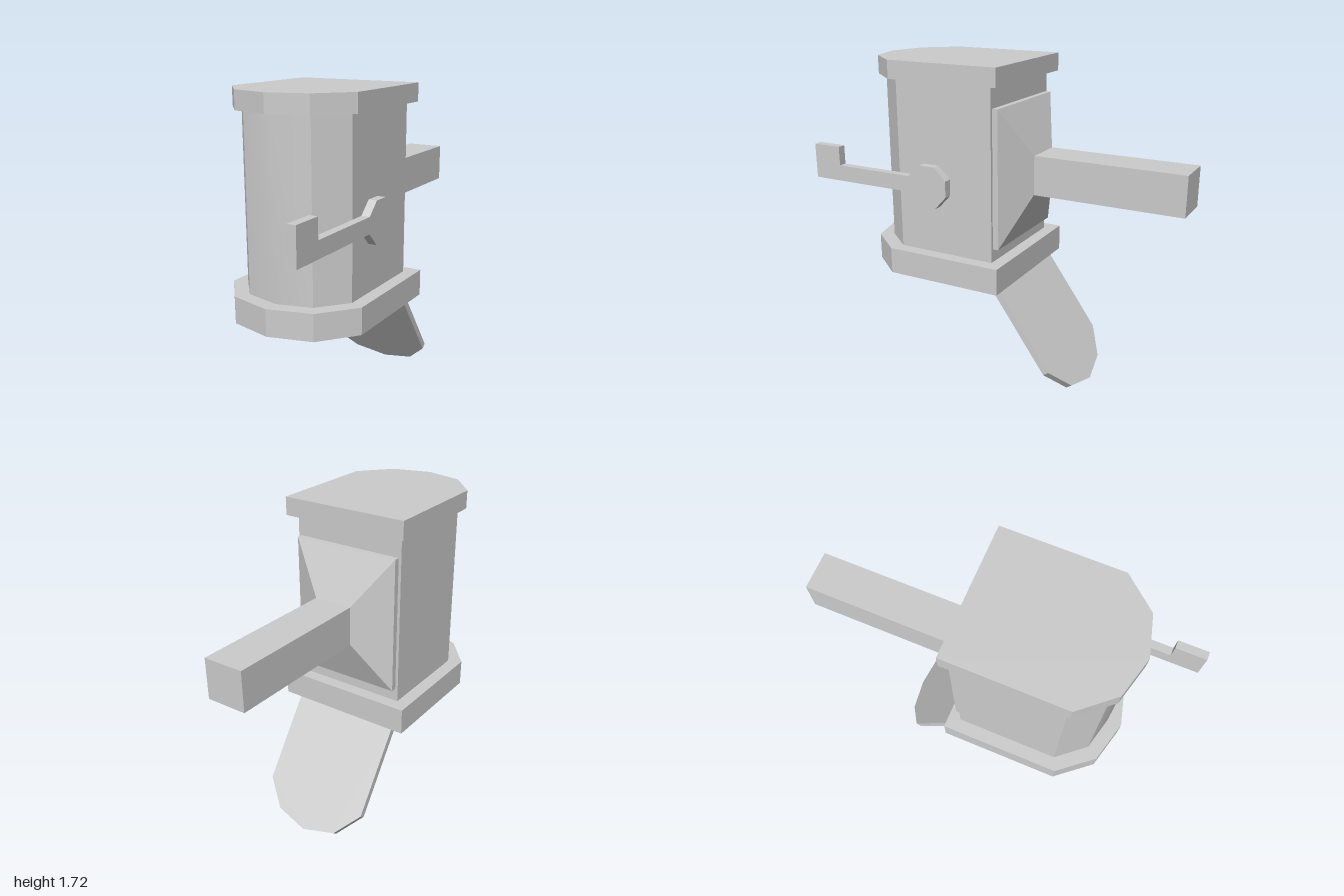
import * as THREE from 'three';
import { toCreasedNormals } from 'three/addons/utils/BufferGeometryUtils.js';

const flat = new THREE.MeshStandardMaterial({ color: 0xcccccc, flatShading: true });
const smooth = new THREE.MeshStandardMaterial({ color: 0xcccccc });

const toPoints = (list) => list.map(([a, b]) => new THREE.Vector2(a, b));

// Plan outline: square back, faceted bow front, mirrored in x
function plan(w, back, side, kneeX, kneeZ, front) {
  return toPoints([[-w, back], [w, back], [w, side], [kneeX, kneeZ],
    [0, front], [-kneeX, kneeZ], [-w, side]]);
}

function extrude(points, depth, hole) {
  const shape = new THREE.Shape(points);
  if (hole) shape.holes.push(new THREE.Path(hole));
  return new THREE.ExtrudeGeometry(shape, { depth, bevelEnabled: false });
}

// Upright prism from a plan outline (x, z)
function prism(points, y0, y1, hole) {
  return extrude(points, y1 - y0, hole).rotateX(Math.PI / 2).translate(0, y1, 0);
}

export function createModel() {
  const group = new THREE.Group();
  const add = (name, geometry, material = flat) => {
    const mesh = new THREE.Mesh(geometry, material);
    mesh.name = name;
    group.add(mesh);
    return mesh;
  };

  // Hollow housing, open at the bottom, with a collar and a lid
  const opening = plan(0.295, -0.065, 0.46, 0.175, 0.605, 0.65);
  const wall = plan(0.31, -0.08, 0.47, 0.185, 0.62, 0.667);
  add('housing', toCreasedNormals(prism(wall, 0.73, 1.63, opening), 0.6), smooth);
  add('collar', prism(plan(0.38, -0.147, 0.5, 0.228, 0.685, 0.745), 0.59, 0.73, opening));
  add('lid', prism(plan(0.348, -0.13, 0.49, 0.205, 0.655, 0.71), 1.63, 1.725));

  // Back plate, tapering boss and square arm
  add('backPlate', new THREE.BoxGeometry(0.59, 0.72, 0.03).translate(0, 1.16, -0.095));
  const boss = new THREE.BoxGeometry(0.59, 0.72, 0.105);
  const pos = boss.attributes.position;
  for (let i = 0; i < pos.count; i++) {
    if (pos.getZ(i) < 0) {
      pos.setX(i, Math.sign(pos.getX(i)) * 0.105);
      pos.setY(i, Math.sign(pos.getY(i)) * 0.103);
    }
  }
  boss.computeVertexNormals();
  add('boss', boss.translate(0, 1.16, -0.1625));
  add('arm', new THREE.BoxGeometry(0.21, 0.206, 0.785).translate(0, 1.16, -0.6075));

  // Bottom flap, hanging open towards the back
  const flap = add('bottomFlap', extrude(
    plan(0.304, -0.02, 0.53, 0.185, 0.67, 0.72), 0.035));
  flap.rotation.x = Math.PI + 0.623;
  flap.position.set(0, 0.59, -0.07);

  // Side lever with octagonal pivot and upturned end, outlined in (z, y)
  const lever = toPoints([[0.385, 1.055], [1, 1.055], [1, 1.243], [0.835, 1.243],
    [0.835, 1.14], [0.385, 1.14], [0.315, 1.205], [0.225, 1.205], [0.16, 1.14],
    [0.16, 1.055], [0.225, 0.985], [0.315, 0.985]]);
  add('lever', extrude(lever, 0.045).rotateY(-Math.PI / 2).translate(0.355, 0, 0));

  return group;
}
